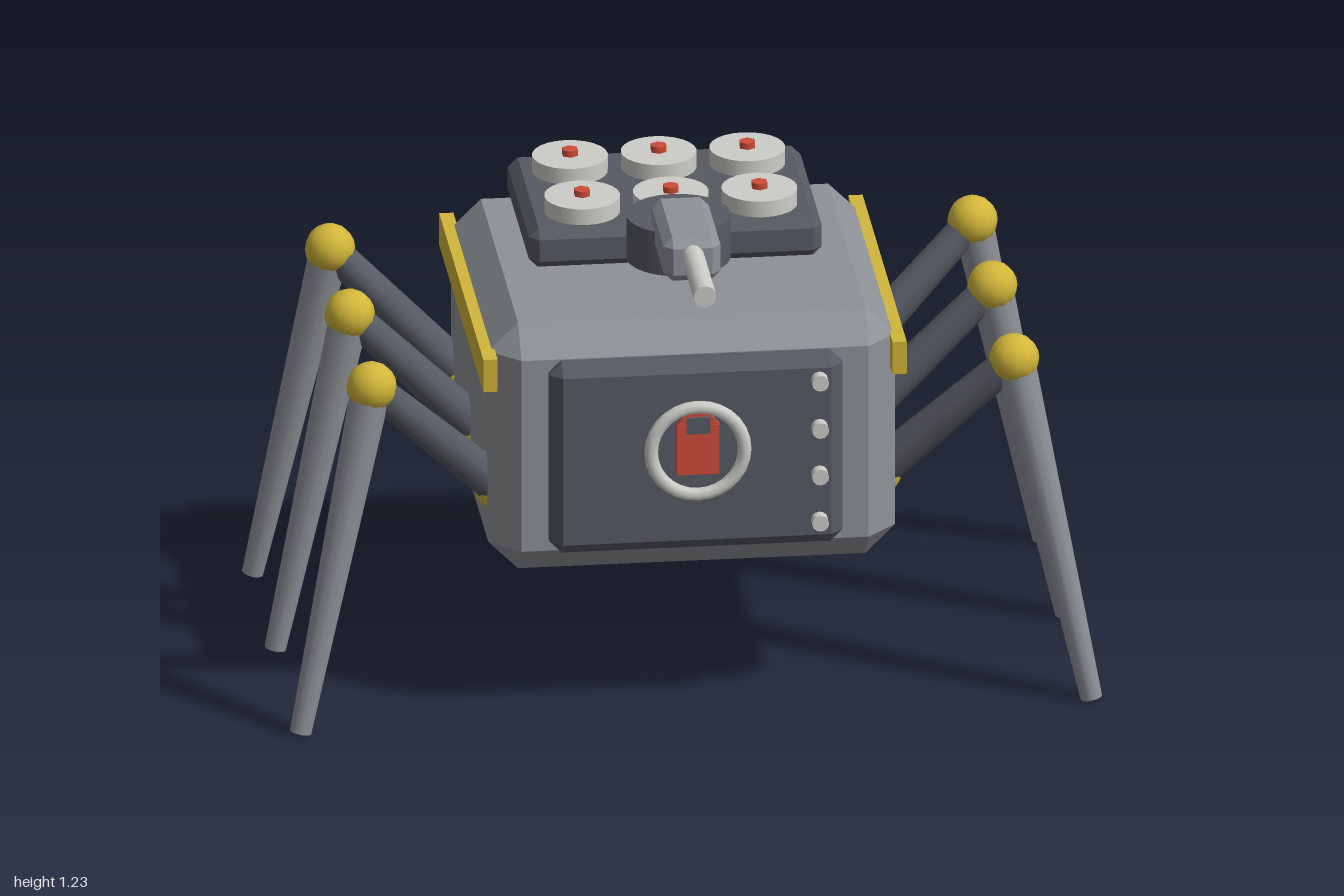
import * as THREE from 'three';
import { ConvexGeometry } from 'three/addons/geometries/ConvexGeometry.js';

const mat = (name, color) => {
  const m = new THREE.MeshStandardMaterial({ color });
  m.name = name;
  return m;
};
const grey = mat('hullGrey', 0x8e9297);
const dark = mat('darkGrey', 0x565a62);
const yellow = mat('yellow', 0xd2b63a);
const pale = mat('paleGrey', 0xcdcdc8);
const red = mat('red', 0xd04c38);

export function createModel() {
  const model = new THREE.Group();
  model.name = 'walker';

  const add = (name, geo, material, x = 0, y = 0, z = 0) => {
    const mesh = new THREE.Mesh(geo, material);
    mesh.name = name;
    mesh.position.set(x, y, z);
    model.add(mesh);
    return mesh;
  };

  // Box with every edge cut at 45 degrees
  const chamferBox = (w, h, d, c) => {
    const pts = [];
    for (const sx of [-1, 1]) for (const sy of [-1, 1]) for (const sz of [-1, 1]) {
      for (let full = 0; full < 3; full++) {
        const cut = (i) => (i === full ? 0 : c);
        pts.push(new THREE.Vector3(
          sx * (w / 2 - cut(0)), sy * (h / 2 - cut(1)), sz * (d / 2 - cut(2))));
      }
    }
    return new ConvexGeometry(pts);
  };

  // Tapered limb between two points
  const limb = (name, a, b, ra, rb, material) => {
    const dir = b.clone().sub(a);
    const mesh = add(name, new THREE.CylinderGeometry(rb, ra, dir.length(), 12), material);
    mesh.position.copy(a).add(b).multiplyScalar(0.5);
    mesh.quaternion.setFromUnitVectors(new THREE.Vector3(0, 1, 0), dir.normalize());
  };

  const forwardCylinder = (r, length, segments) =>
    new THREE.CylinderGeometry(r, r, length, segments).rotateX(Math.PI / 2);

  // Hull and side rails
  add('hull', chamferBox(1.0, 0.65, 0.94, 0.073), grey, 0, 0.7, -0.06);
  for (const s of [-1, 1]) {
    add('sideRail', new THREE.BoxGeometry(0.035, 0.085, 0.945), yellow, s * 0.503, 0.917, -0.062);
  }

  // Front panel with ring, red emblem plate and bolts
  add('frontPanel', chamferBox(0.72, 0.5, 0.1, 0.03), dark, 0, 0.7, 0.41);
  add('frontRing', new THREE.TorusGeometry(0.115, 0.017, 8, 28), pale, 0, 0.72, 0.47);
  add('redPlate', new THREE.BoxGeometry(0.105, 0.13, 0.025), red, 0, 0.725, 0.4655);
  const cap = new THREE.Shape([[-0.052, 0], [0.052, 0], [0.03, 0.03], [-0.03, 0.03]]
    .map(([x, y]) => new THREE.Vector2(x, y)));
  add('redPlateTop', new THREE.ExtrudeGeometry(cap, { depth: 0.02, bevelEnabled: false }),
    red, 0, 0.789, 0.455);
  add('plateLatch', new THREE.BoxGeometry(0.058, 0.042, 0.03), dark, 0, 0.79, 0.468);
  for (const y of [0.89, 0.765, 0.642, 0.52]) {
    add('panelBolt', forwardCylinder(0.021, 0.04, 12), pale, 0.3, y, 0.468);
  }

  // Roof deck with six capped canisters
  add('roofDeck', chamferBox(0.72, 0.105, 0.5, 0.024), dark, 0, 1.074, -0.24);
  for (const x of [-0.218, 0, 0.218]) for (const z of [-0.37, -0.11]) {
    add('canister', new THREE.CylinderGeometry(0.093, 0.093, 0.05, 24), pale, x, 1.143, z);
    add('canisterCap', new THREE.CylinderGeometry(0.021, 0.021, 0.03, 6), red, x, 1.169, z);
  }

  // Turret and gun
  add('turretBase', new THREE.CylinderGeometry(0.128, 0.128, 0.113, 24), dark, 0, 1.118, 0.052);
  add('gunHousing', chamferBox(0.14, 0.113, 0.297, 0.022), grey, 0, 1.176, 0.217);
  add('gunBarrel', forwardCylinder(0.028, 0.29, 14), pale, 0, 1.19, 0.48);

  // Three jointed legs on each side: z of hip, knee and foot
  const legs = [[0.27, 0.362, 0.43], [-0.085, -0.105, -0.112], [-0.425, -0.527, -0.597]];
  for (const s of [-1, 1]) for (const [hz, kz, fz] of legs) {
    const hip = new THREE.Vector3(s * 0.465, 0.565, hz);
    const knee = new THREE.Vector3(s * 0.79, 0.883, kz);
    const foot = new THREE.Vector3(s * 0.972, 0.006, fz);
    add('hipJoint', new THREE.SphereGeometry(0.062, 10, 8), yellow, ...hip);
    limb('upperLeg', hip, knee, 0.05, 0.04, dark);
    add('kneeJoint', new THREE.SphereGeometry(0.062, 12, 10), yellow, ...knee);
    limb('lowerLeg', foot, knee, 0.027, 0.05, grey);
  }

  return model;
}
